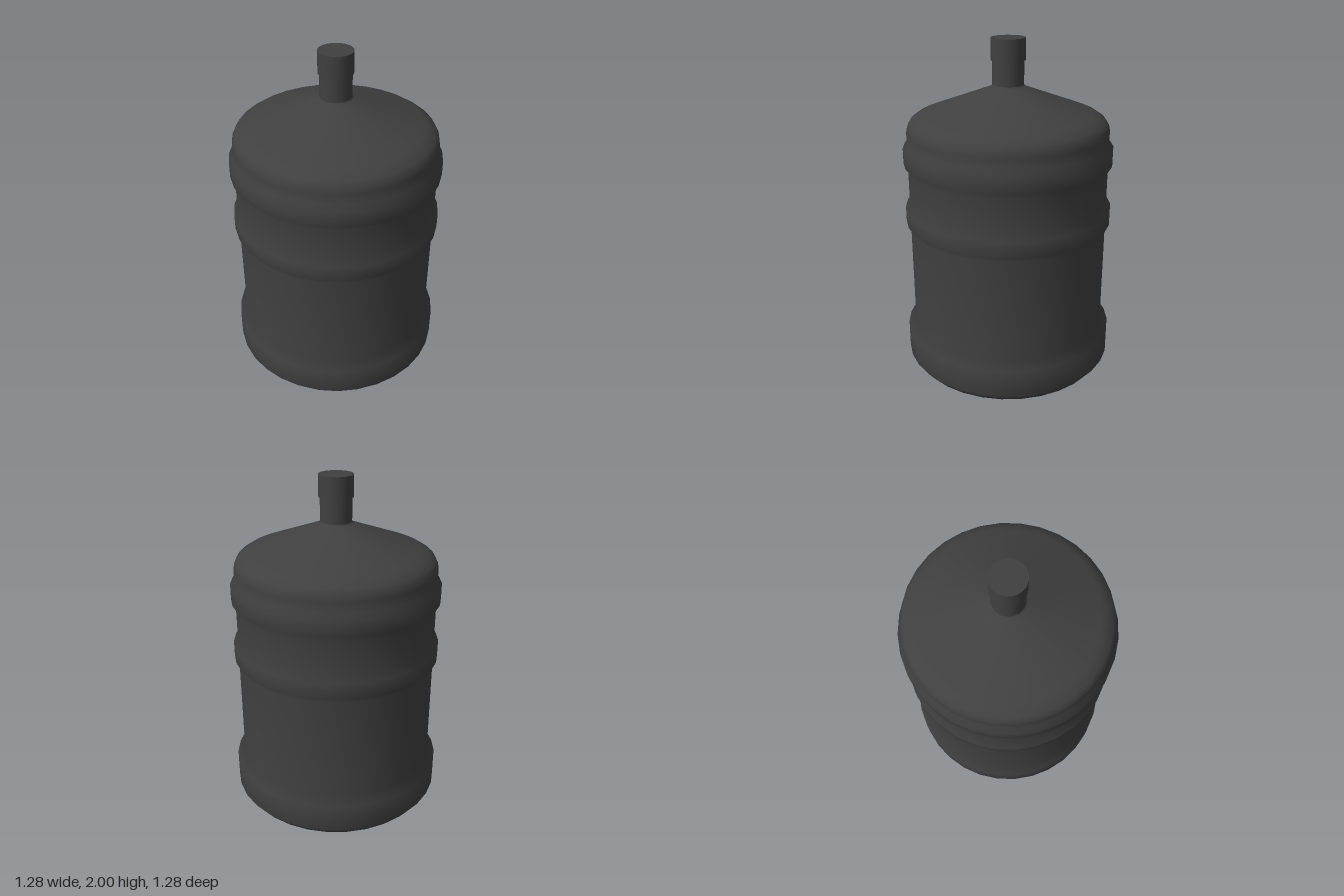
import * as THREE from 'three';

const SIDES = 32;

export function createModel() {
  const group = new THREE.Group();
  const material = new THREE.MeshStandardMaterial({ color: 0x404040 });

  const add = (name, geometry, y = 0) => {
    const mesh = new THREE.Mesh(geometry, material);
    mesh.name = name;
    mesh.position.y = y;
    group.add(mesh);
  };
  const lathe = (points) =>
    new THREE.LatheGeometry(points.map(([r, y]) => new THREE.Vector2(r, y)), SIDES);

  // Raised band around the wall, centred on height y
  const wall = 0.595;
  const band = (y) => [
    [wall, y - 0.08], [0.62, y - 0.045], [0.62, y + 0.045], [wall, y + 0.08],
  ];

  // Body: flat bottom, wide foot, wall with two bands, rounded shoulder, cone
  add('bottleBody', lathe([
    [0, 0], [0.57, 0], [0.6, 0.005], [0.64, 0.055], [0.64, 0.22], [wall, 0.26],
    ...band(0.968), ...band(1.332),
    [wall, 1.47], [0.588, 1.505], [0.57, 1.535], [0.53, 1.562],
    [0.5, 1.574], [0.1, 1.723], [0.092, 1.735],
  ]));

  // Neck
  add('neck', lathe([[0.092, 1.73], [0.092, 1.88]]));

  // Cap with flat top and underside
  add('cap', new THREE.CylinderGeometry(0.1, 0.1, 0.126, SIDES), 1.937);

  return group;
}
